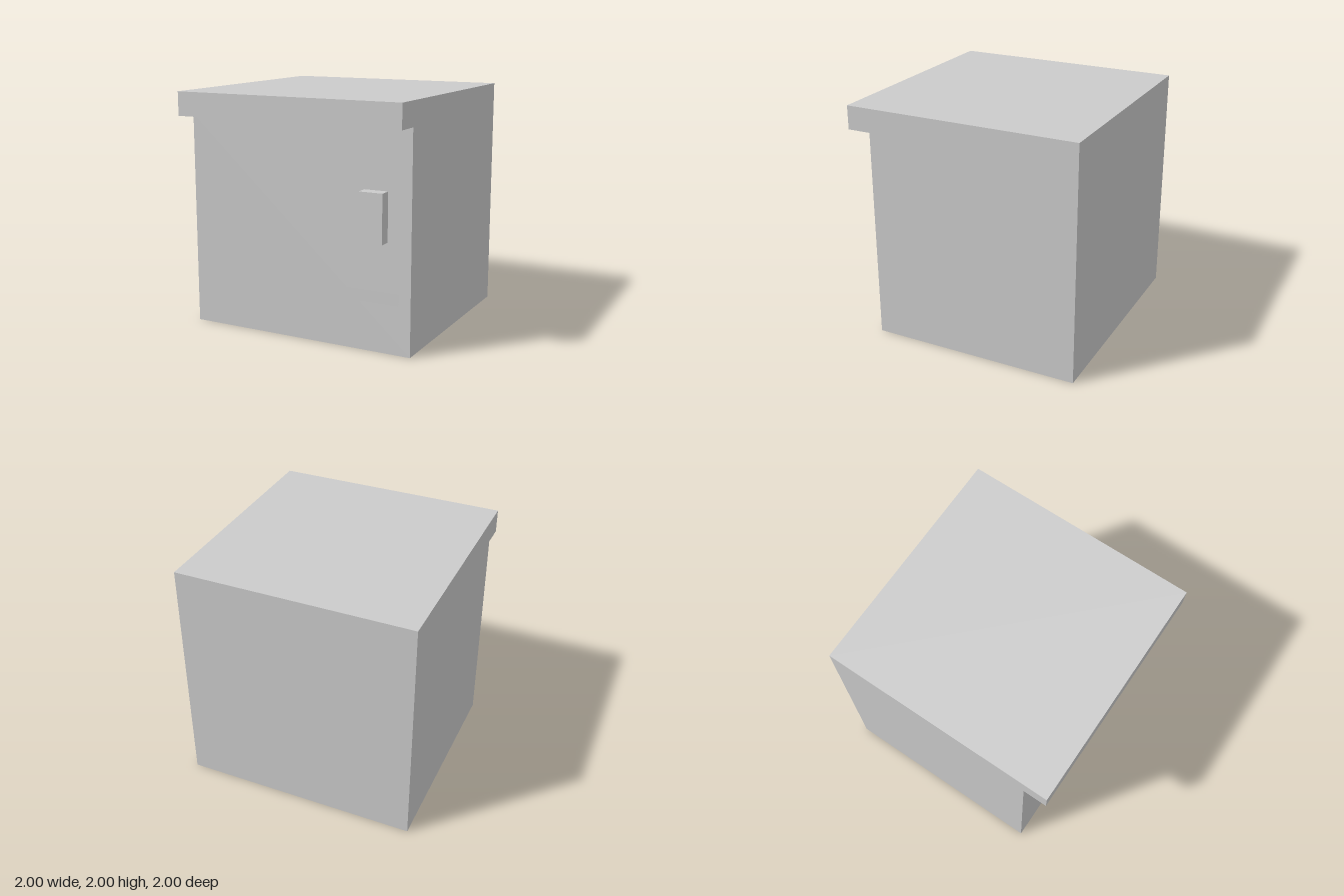
import * as THREE from 'three';

const material = new THREE.MeshStandardMaterial({
  color: 0xcccccc, flatShading: true, side: THREE.DoubleSide,
});

// Side outline as [z, y], from the back foot over the top to the front foot
const PROFILE = [[-1, 0], [-1, 2], [1, 2], [1, 1.8], [0.8, 1.8], [0.8, 0]];

function addMesh(group, name, geometry, x = 0, y = 0, z = 0) {
  const mesh = new THREE.Mesh(geometry, material);
  mesh.name = name;
  mesh.position.set(x, y, z);
  group.add(mesh);
}

// Thin sheet that follows the outline from side to side, open underneath
function wrapGeometry() {
  const positions = [];
  for (let i = 0; i < PROFILE.length - 1; i++) {
    const [z0, y0] = PROFILE[i];
    const [z1, y1] = PROFILE[i + 1];
    const a = [-1, y0, z0], b = [1, y0, z0], c = [1, y1, z1], d = [-1, y1, z1];
    positions.push(...a, ...c, ...b, ...a, ...d, ...c);
  }
  const geometry = new THREE.BufferGeometry();
  geometry.setAttribute('position', new THREE.Float32BufferAttribute(positions, 3));
  geometry.computeVertexNormals();
  return geometry;
}

// Flat side panel facing outward; side is 1 for left (+x), -1 for right
function sideGeometry(side) {
  const shape = new THREE.Shape(PROFILE.map(([z, y]) => new THREE.Vector2(-side * z, y)));
  return new THREE.ShapeGeometry(shape).rotateY(side * Math.PI / 2);
}

export function createModel() {
  const model = new THREE.Group();
  model.name = 'cabinet';

  // Hollow body with the overhanging top
  addMesh(model, 'backTopAndFront', wrapGeometry());
  addMesh(model, 'leftSide', sideGeometry(1), 1);
  addMesh(model, 'rightSide', sideGeometry(-1), -1);

  // Door handle
  addMesh(model, 'handle', new THREE.BoxGeometry(0.2, 0.4, 0.1), 0.7, 1.1, 0.85);

  // Inner shelf, set against the front
  addMesh(model, 'shelf', new THREE.BoxGeometry(1.8, 0.1, 1.2), 0, 0.45, 0.2);

  return model;
}
